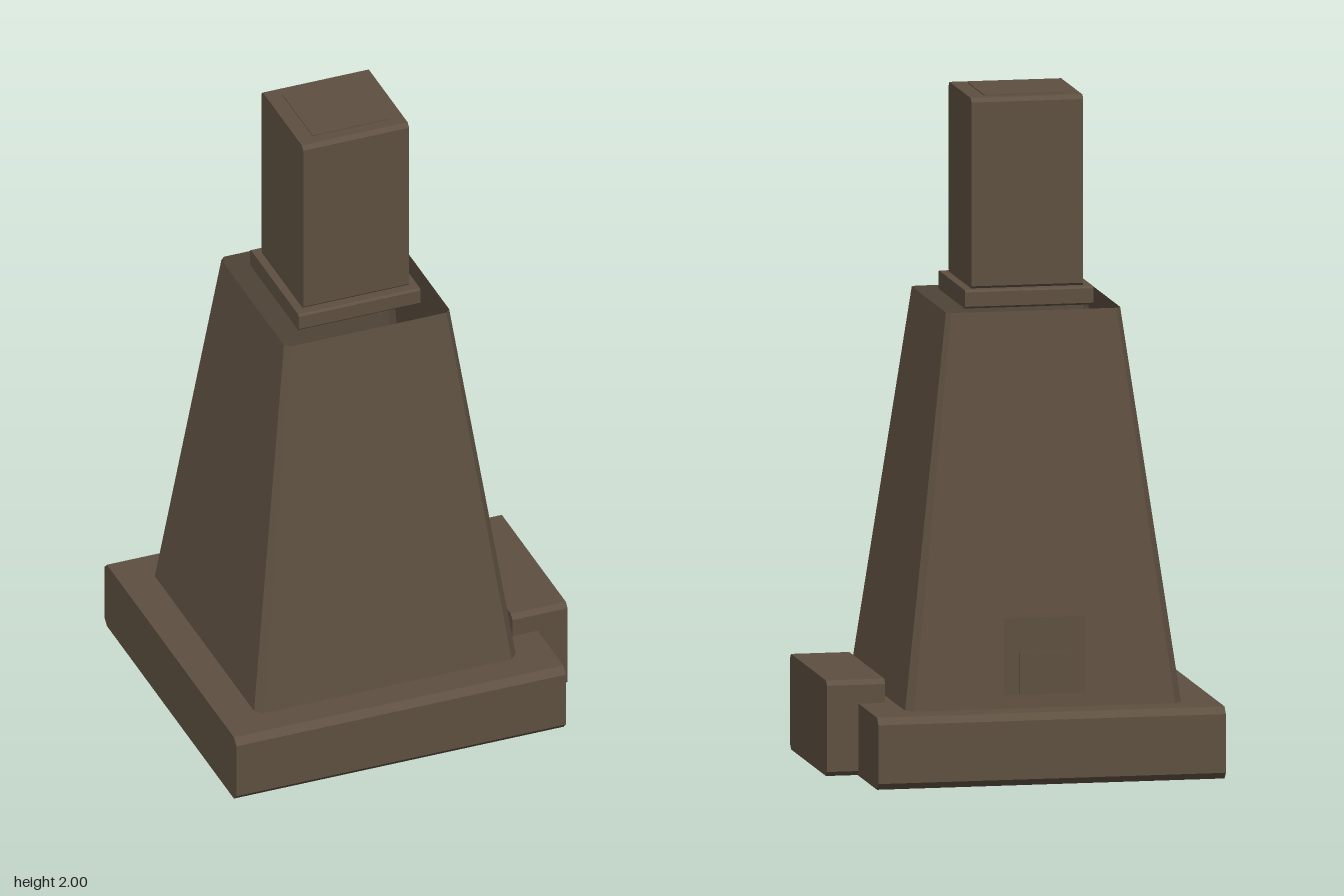
import * as THREE from 'three';

export function createModel() {
  const group = new THREE.Group();
  const stone = new THREE.MeshStandardMaterial({ color: 0x5e5041, side: THREE.DoubleSide });
  stone.name = 'brown stone';
  const cx = -0.047; // tower axis

  function add(name, geometry) {
    const mesh = new THREE.Mesh(geometry, stone);
    mesh.name = name;
    group.add(mesh);
    return mesh;
  }

  // Block running along x, with its four long edges chamfered by c
  function block(name, x0, x1, y0, y1, z0, z1, c) {
    const shape = new THREE.Shape([
      [-z1 + c, y0], [-z0 - c, y0], [-z0, y0 + c], [-z0, y1 - c],
      [-z0 - c, y1], [-z1 + c, y1], [-z1, y1 - c], [-z1, y0 + c],
    ].map(([a, b]) => new THREE.Vector2(a, b)));
    const g = new THREE.ExtrudeGeometry(shape, { depth: x1 - x0, bevelEnabled: false });
    g.rotateY(Math.PI / 2).translate(x0, 0, 0);
    return add(name, g);
  }

  // Thin flat panel
  function plate(name, x0, x1, y0, y1, z0, z1) {
    const g = new THREE.BoxGeometry(x1 - x0, y1 - y0, z1 - z0);
    g.translate((x0 + x1) / 2, (y0 + y1) / 2, (z0 + z1) / 2);
    return add(name, g);
  }

  // Square section with cut corners, counter-clockwise seen from below
  function section(y, hx, hz, c) {
    return [
      [hx, hz - c], [hx - c, hz], [-hx + c, hz], [-hx, hz - c],
      [-hx, -hz + c], [-hx + c, -hz], [hx - c, -hz], [hx, -hz + c],
    ].map(([x, z]) => [cx + x, y, z]);
  }

  // Base slab and side step
  block('base', -0.57, 0.475, 0, 0.215, -0.523, 0.523, 0.02);
  block('sideStep', 0.395, 0.57, 0, 0.285, -0.235, 0.3, 0.014);

  // Tapered tower, an open shell
  const low = section(0.215, 0.415, 0.415, 0.022);
  const high = section(1.375, 0.262, 0.262, 0.014);
  const points = [];
  for (let i = 0; i < 8; i++) {
    const j = (i + 1) % 8;
    points.push(...low[i], ...high[j], ...low[j], ...low[i], ...high[i], ...high[j]);
  }
  const shell = new THREE.BufferGeometry();
  shell.setAttribute('position', new THREE.Float32BufferAttribute(points, 3));
  // Wind the faces outward
  const p = shell.attributes.position;
  const [a, b, c] = [0, 1, 2].map((i) => new THREE.Vector3().fromBufferAttribute(p, i));
  const n = b.clone().sub(a).cross(c.clone().sub(a));
  if (n.dot(new THREE.Vector3(a.x - cx, 0, a.z)) < 0) {
    shell.setIndex(Array.from({ length: p.count }, (_, i) => p.count - 1 - i));
  }
  const tower = shell.index ? shell.toNonIndexed() : shell;
  tower.computeVertexNormals();
  add('tower', tower);

  // Collar and chimney
  block('collar', cx - 0.193, cx + 0.193, 1.375, 1.43, -0.193, 0.193, 0.006);
  block('chimney', cx - 0.168, cx + 0.168, 1.425, 1.997, -0.166, 0.166, 0.012);
  plate('chimneyCap', cx - 0.12, cx + 0.12, 1.995, 2, -0.12, 0.12);

  // Door panels on the back
  plate('door', -0.17, 0.076, 0.255, 0.485, -0.413, -0.41);
  plate('doorPanel', -0.122, 0.028, 0.26, 0.38, -0.418, -0.413);

  return group;
}
